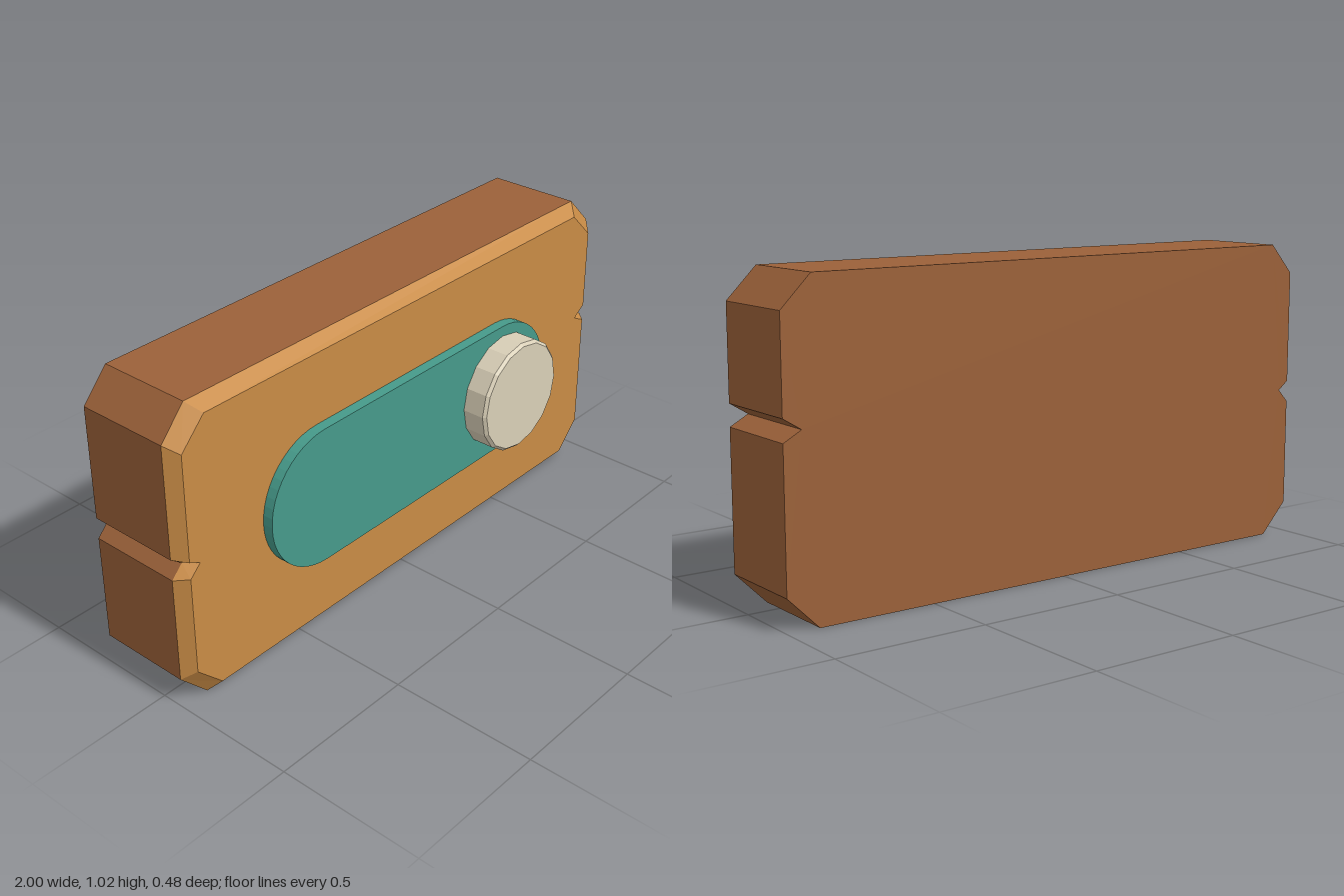
import * as THREE from 'three';

const material = (name, color) => {
  const m = new THREE.MeshStandardMaterial({ color });
  m.name = name;
  return m;
};

// Counter-clockwise outlines seen from the front: [x, y]
const OUTER = [
  [-0.9, 0], [0.895, 0], [1, 0.105], [1, 0.55], [0.94, 0.583], [1, 0.62],
  [1, 0.92], [0.9, 1.02], [-0.91, 1.02], [-1, 0.92], [-1, 0.54], [-0.96, 0.51],
  [-1, 0.468], [-1, 0.105],
];
const INNER = [
  [-0.87, 0.04], [0.87, 0.04], [0.96, 0.135], [0.96, 0.553], [0.91, 0.578], [0.96, 0.613],
  [0.96, 0.89], [0.865, 0.983], [-0.875, 0.983], [-0.965, 0.89], [-0.965, 0.53], [-0.925, 0.511],
  [-0.965, 0.472], [-0.965, 0.135],
];
const toShape = (pts) => new THREE.Shape(pts.map(([x, y]) => new THREE.Vector2(x, y)));

// Sloped ring joining two outlines at different depths
function bevelGeometry(outer, z0, inner, z1) {
  const pos = [];
  outer.forEach((_, i) => {
    const j = (i + 1) % outer.length;
    const a = [...outer[i], z0], b = [...outer[j], z0];
    const c = [...inner[j], z1], d = [...inner[i], z1];
    pos.push(...a, ...b, ...c, ...a, ...c, ...d);
  });
  const g = new THREE.BufferGeometry();
  g.setAttribute('position', new THREE.Float32BufferAttribute(pos, 3));
  g.computeVertexNormals();
  return g;
}

export function createModel() {
  const group = new THREE.Group();
  const brown = material('brown body', 0x9b6139);
  const tan = material('tan face', 0xc88b45);
  const teal = material('teal track', 0x469a8a);
  const cream = material('cream knob', 0xd9cfb7);
  for (const m of [brown, tan, teal, cream]) m.flatShading = true;

  const add = (name, geometry, mat, x = 0, y = 0, z = 0) => {
    const mesh = new THREE.Mesh(geometry, mat);
    mesh.name = name;
    mesh.position.set(x, y, z);
    group.add(mesh);
    return mesh;
  };

  // Notched slab with its chamfered front
  add('body', new THREE.ExtrudeGeometry(toShape(OUTER), { depth: 0.32, bevelEnabled: false }), brown, 0, 0, -0.24);
  add('frontBevel', bevelGeometry(OUTER, 0.08, INNER, 0.12), tan);
  add('frontFace', new THREE.ShapeGeometry(toShape(INNER)), tan, 0, 0, 0.12);

  // Pill-shaped switch track
  const pill = new THREE.Shape();
  pill.absarc(0.432, 0, 0.235, -Math.PI / 2, Math.PI / 2, false);
  pill.absarc(-0.435, 0, 0.235, Math.PI / 2, Math.PI * 1.5, false);
  add('track', new THREE.ExtrudeGeometry(pill, { depth: 0.036, bevelEnabled: false, curveSegments: 12 }),
    teal, 0, 0.51, 0.12);

  // Sixteen-sided knob with a small edge chamfer
  const profile = [[0, 0], [0.198, 0], [0.198, 0.078], [0.188, 0.088], [0, 0.088]];
  const knob = new THREE.LatheGeometry(profile.map(([r, h]) => new THREE.Vector2(r, h)), 16);
  knob.rotateX(Math.PI / 2);
  add('knob', knob, cream, 0.432, 0.511, 0.155);

  return group;
}
